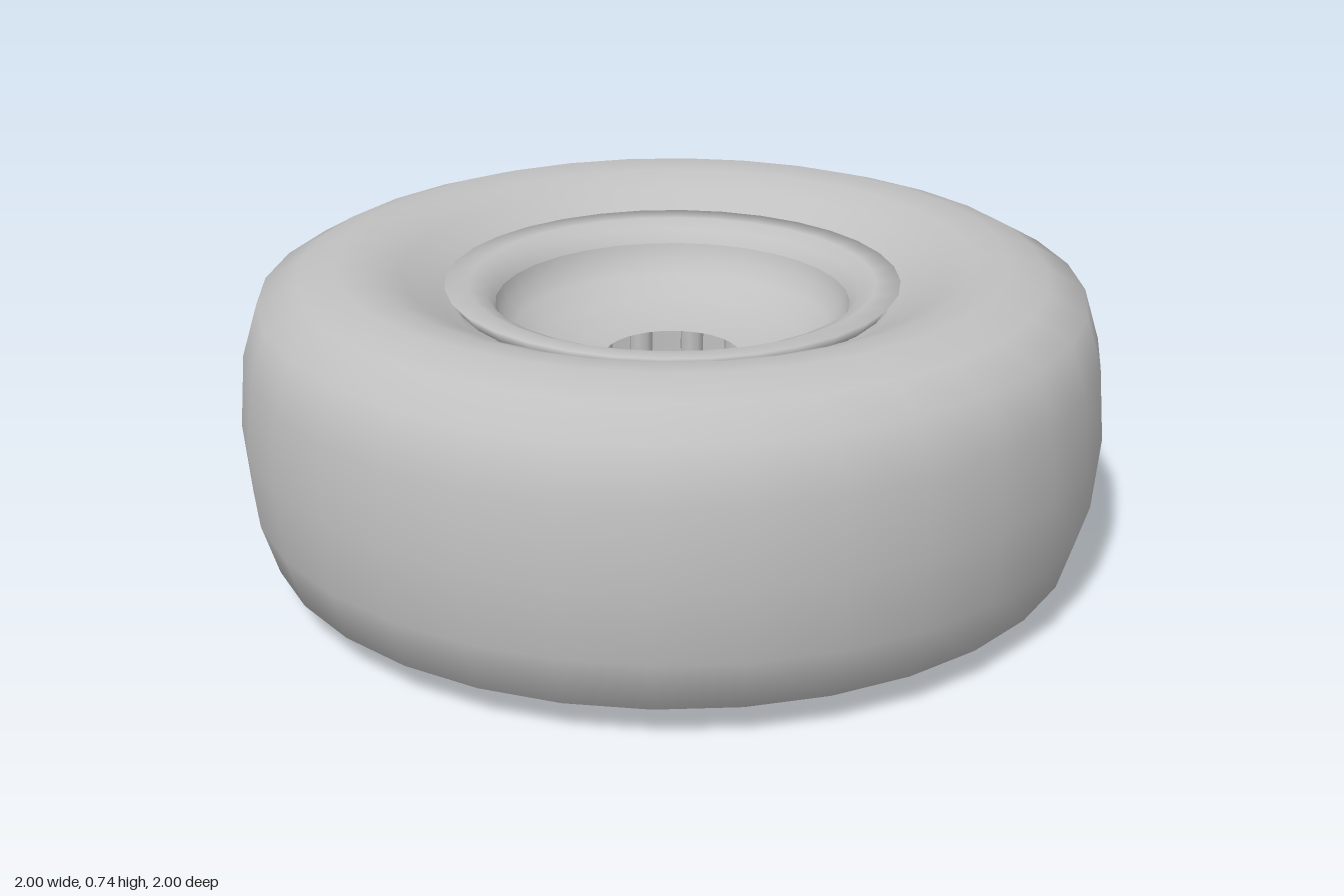
import * as THREE from 'three';

export function createModel() {
  const group = new THREE.Group();
  const grey = new THREE.MeshStandardMaterial({ color: 0xc0c0c0, side: THREE.DoubleSide });
  grey.name = 'wheel grey';
  const SEGMENTS = 32;
  const HEIGHT = 0.74;

  const add = (name, geometry) => {
    const mesh = new THREE.Mesh(geometry, grey);
    mesh.name = name;
    group.add(mesh);
    return mesh;
  };
  const lathe = (name, profile) =>
    add(name, new THREE.LatheGeometry(profile.map(([r, y]) => new THREE.Vector2(r, y)), SEGMENTS));

  // Tyre: the lower half profile runs from rim to tread, mirrored for the upper half
  const lower = [[0.5, 0.11], [0.54, 0.085], [0.62, 0.035], [0.69, 0.008], [0.77, 0], [0.86, 0.03],
    [0.948, 0.08], [0.985, 0.2]];
  const upper = lower.map(([r, y]) => [r, HEIGHT - y]).reverse();
  lathe('tyre', [...lower, [1, HEIGHT / 2], ...upper]);

  // Rim flanges, one on each side
  const flange = [[0.5, 0.64], [0.525, 0.675], [0.47, 0.672], [0.43, 0.655], [0.41, 0.625]];
  lathe('upperFlange', flange);
  lathe('lowerFlange', flange.map(([r, y]) => [r, HEIGHT - y]).reverse());

  // Dished centre with the axle hole
  lathe('dish', [[0.41, 0.625], [0.4, 0.59], [0.37, 0.555], [0.31, 0.52], [0.23, 0.495], [0.16, 0.485]]);

  // Deep barrel behind the dish
  lathe('barrel', [[0.41, 0.625], [0.41, 0.37], [0.41, 0.115]]);

  // Wheel bolts hanging below the dish, around the hole
  const BOLTS = 10;
  for (let i = 0; i < BOLTS; i++) {
    const a = (i / BOLTS) * Math.PI * 2;
    const bolt = add('bolt', new THREE.CylinderGeometry(0.028, 0.028, 0.06, 8));
    bolt.position.set(Math.sin(a) * 0.2, 0.455, Math.cos(a) * 0.2);
  }
  return group;
}
